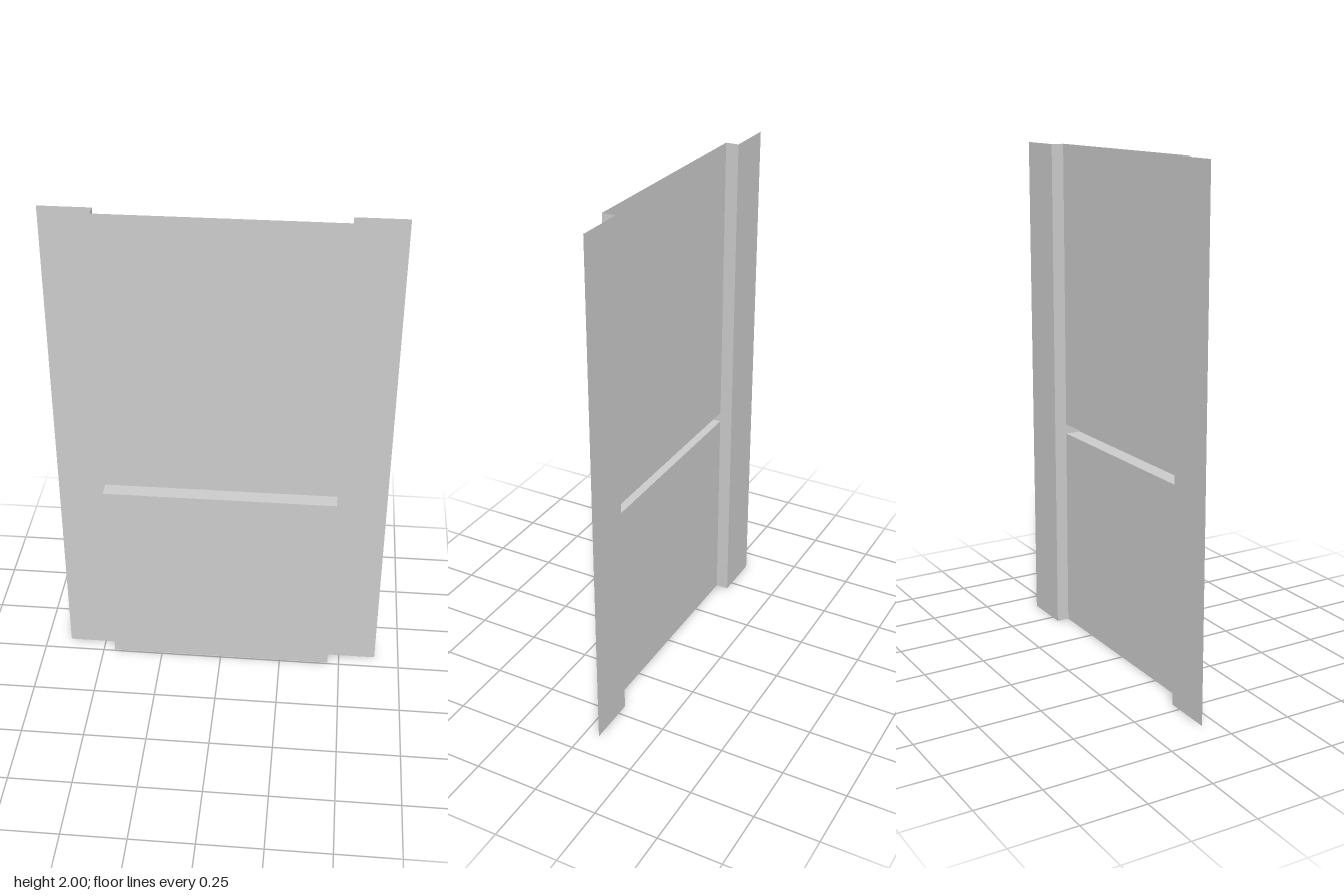
import * as THREE from 'three';

const material = new THREE.MeshStandardMaterial({ color: 0xcccccc, side: THREE.DoubleSide, flatShading: true });

const HEIGHT = 2, HALF = 0.453, OUTER = 0.65;      // door height, panel half width, overall half width
const BACK = -0.057, FACE = -0.006, FRONT = 0.057; // depth of flanges, panel and bar front
const BAR_LOW = 0.823, BAR_HIGH = 0.862;

// Thin rectangular sheet facing +z, turned by rx and ry
function sheet(name, w, h, x, y, z, rx = 0, ry = 0) {
  const mesh = new THREE.Mesh(new THREE.PlaneGeometry(w, h), material);
  mesh.name = name;
  mesh.position.set(x, y, z);
  mesh.rotation.set(rx, ry, 0);
  return mesh;
}

export function createModel() {
  const group = new THREE.Group();
  group.name = 'doorPanel';

  // Centre panel, split by the slot behind the bar
  group.add(
    sheet('lowerPanel', 2 * HALF, BAR_LOW, 0, BAR_LOW / 2, FACE),
    sheet('upperPanel', 2 * HALF, HEIGHT - BAR_HIGH, 0, (HEIGHT + BAR_HIGH) / 2, FACE)
  );

  // Hollow push bar, open at the back
  const bar = new THREE.Group();
  bar.name = 'pushBar';
  const depth = FRONT - FACE, barH = BAR_HIGH - BAR_LOW;
  const midY = (BAR_LOW + BAR_HIGH) / 2, midZ = (FRONT + FACE) / 2;
  bar.add(
    sheet('barFront', 2 * HALF, barH, 0, midY, FRONT),
    sheet('barTop', 2 * HALF, depth, 0, BAR_HIGH, midZ, -Math.PI / 2),
    sheet('barBottom', 2 * HALF, depth, 0, BAR_LOW, midZ, Math.PI / 2)
  );
  group.add(bar);

  // Mirrored sides: bar end, step back from the panel, and outer flange
  for (const [side, s] of [['left', 1], ['right', -1]]) {
    const turn = s * Math.PI / 2;
    bar.add(sheet(side + 'BarEnd', depth, barH, s * HALF, midY, midZ, 0, turn));
    group.add(
      sheet(side + 'Return', FACE - BACK, HEIGHT, s * HALF, HEIGHT / 2, (FACE + BACK) / 2, 0, turn),
      sheet(side + 'Flange', OUTER - HALF, HEIGHT, s * (OUTER + HALF) / 2, HEIGHT / 2, BACK)
    );
  }
  return group;
}
